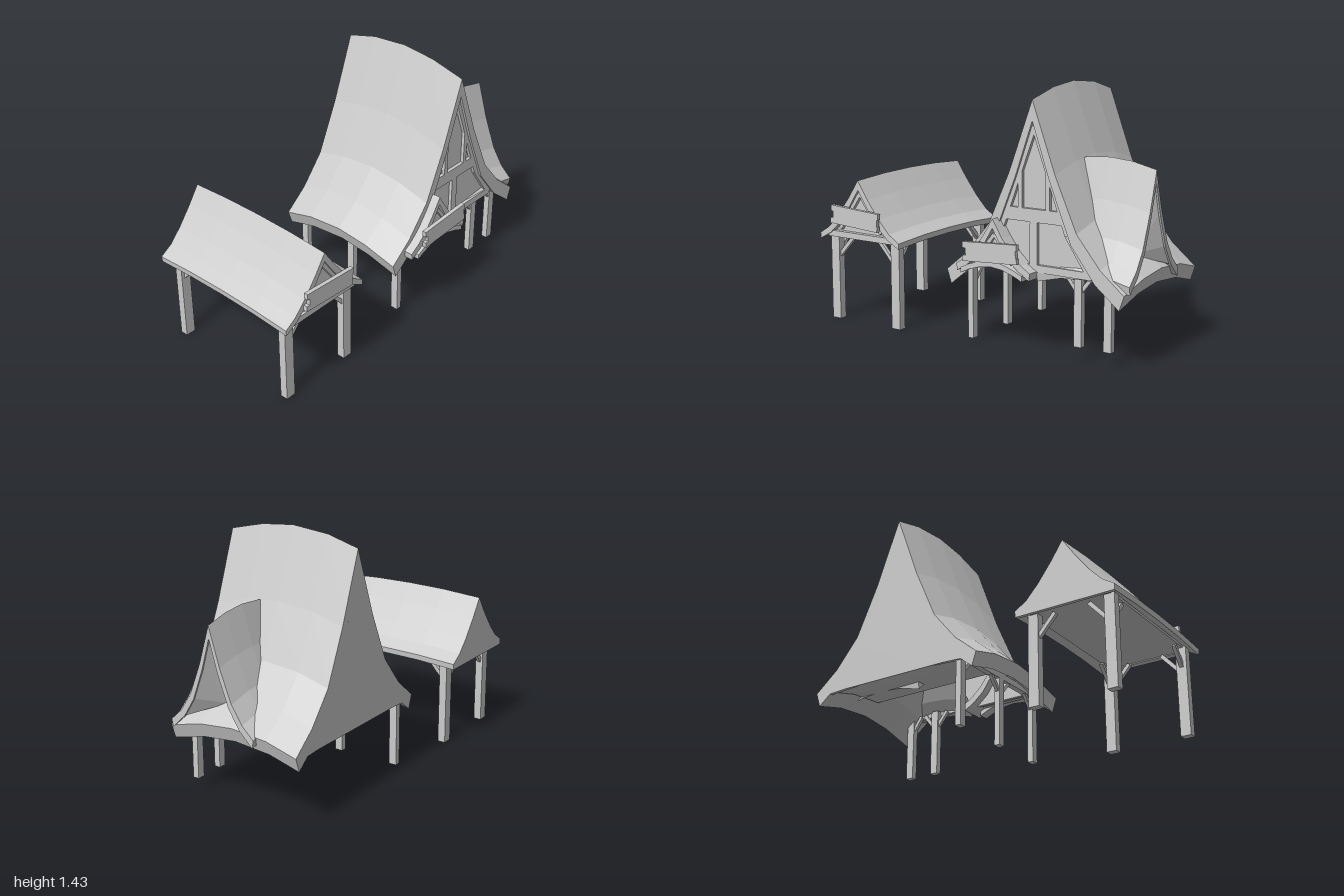
import * as THREE from 'three';

const mat = new THREE.MeshStandardMaterial({ color: 0xcccccc, flatShading: true, side: THREE.DoubleSide });

function add(parent, name, geometry, x = 0, y = 0, z = 0) {
  const mesh = new THREE.Mesh(geometry, mat);
  mesh.name = name;
  mesh.position.set(x, y, z);
  parent.add(mesh);
  return mesh;
}

const box = (parent, name, w, h, d, x, y, z) => add(parent, name, new THREE.BoxGeometry(w, h, d), x, y, z);

// Rectangular bar between two points
function bar(parent, name, a, b, w, d = w) {
  const p = new THREE.Vector3(...a), q = new THREE.Vector3(...b);
  const mesh = add(parent, name, new THREE.BoxGeometry(w, p.distanceTo(q), d));
  mesh.position.copy(p).add(q).multiplyScalar(0.5);
  mesh.quaternion.setFromUnitVectors(new THREE.Vector3(0, 1, 0), q.sub(p).normalize());
}

const post = (parent, x, z, y0, y1, w, d) => box(parent, 'post', w, y1 - y0, d, x, (y0 + y1) / 2, z);

// Half profile (ridge to eave) mirrored: right eave, ridge, left eave
const mirrored = (half) => [...half].reverse().concat(half.slice(1).map(([x, y]) => [-x, y]));

// Closed section swept along z; stations are [z, lift]
function loft(section, stations) {
  const pos = [];
  const put = (p, s) => pos.push(p[0], p[1] + s[1], s[0]);
  for (let k = 0; k + 1 < stations.length; k++) {
    const a = stations[k], b = stations[k + 1];
    section.forEach((p, i) => {
      const q = section[(i + 1) % section.length];
      put(p, a); put(q, a); put(q, b);
      put(p, a); put(q, b); put(p, b);
    });
  }
  const pts = section.map((p) => new THREE.Vector2(...p));
  const first = stations[0], last = stations[stations.length - 1];
  for (const [i, j, k] of THREE.ShapeUtils.triangulateShape(pts, [])) {
    const ccw = THREE.ShapeUtils.area([pts[i], pts[j], pts[k]]) > 0;
    const t = ccw ? [i, j, k] : [k, j, i];
    t.forEach((n) => put(section[n], last));
    t.reverse().forEach((n) => put(section[n], first));
  }
  const g = new THREE.BufferGeometry();
  g.setAttribute('position', new THREE.Float32BufferAttribute(pos, 3));
  g.computeVertexNormals();
  return g;
}

const roof = (parent, name, outer, inner, stations) =>
  add(parent, name, loft([...mirrored(outer), ...mirrored(inner).reverse()], stations));

// Flat wall filling the underside of a roof
function gable(parent, name, inner, z, depth, lift) {
  const shape = new THREE.Shape(mirrored(inner).map(([x, y]) => new THREE.Vector2(x, y + lift)));
  add(parent, name, new THREE.ExtrudeGeometry(shape, { depth, bevelEnabled: false }), 0, 0, z);
}

// Three ragged planks forming a blank board
function board(parent, x, y, z, tilt) {
  const g = new THREE.Group();
  g.name = 'plankBoard';
  [[0.345, 0.032, -0.004], [0.32, 0.04, 0.004], [0.345, 0.034, -0.002]].forEach(([w, h, dx], i) =>
    box(g, 'plank', w, h, 0.024, dx, (i - 1) * 0.036, 0));
  g.position.set(x, y, z);
  g.rotation.z = tilt;
  parent.add(g);
}

function buildShelter() {
  const g = new THREE.Group();
  g.name = 'shelter';
  g.position.x = -0.71;
  const outer = [[0, 0.86], [0.07, 0.755], [0.15, 0.65], [0.22, 0.575], [0.29, 0.53]];
  const inner = [[0, 0.805], [0.055, 0.72], [0.13, 0.615], [0.21, 0.54], [0.287, 0.497]];
  roof(g, 'shelterRoof', outer, inner, [[-0.5, -0.018], [-0.26, -0.004], [-0.025, 0], [0.21, -0.004], [0.45, -0.018]]);
  gable(g, 'backGable', inner, -0.5, 0.02, -0.018);
  gable(g, 'frontGable', inner.slice(0, 4), 0.39, 0.02, -0.01);
  box(g, 'ceiling', 0.47, 0.015, 0.88, 0, 0.51, -0.03);
  for (const z of [0.42, -0.47]) box(g, 'tieBeam', 0.47, 0.035, 0.04, 0, 0.515, z);
  for (const s of [-1, 1]) {
    bar(g, 'rafter', [0, 0.765, 0.425], [s * 0.15, 0.55, 0.425], 0.022);
    for (const z of [0.378, -0.412]) {
      post(g, s * 0.222, z, 0, 0.51, 0.06, 0.046);
      bar(g, 'brace', [s * 0.2, 0.38, z], [s * 0.1, 0.49, z], 0.022);
      bar(g, 'sideBrace', [s * 0.222, 0.38, z], [s * 0.222, 0.49, z - Math.sign(z) * 0.1], 0.022);
    }
  }
  board(g, 0.002, 0.63, 0.478, -0.06);
  return g;
}

function buildHall() {
  const g = new THREE.Group();
  g.name = 'hall';
  g.position.x = 0.432;
  const outer = [[0, 1.43], [0.14, 1.05], [0.27, 0.76], [0.41, 0.59], [0.549, 0.475]];
  const inner = [[0, 1.32], [0.105, 1.02], [0.235, 0.7], [0.38, 0.51], [0.522, 0.395]];
  const bow = [[-0.405, -0.07], [-0.22, -0.02], [0, 0], [0.2, -0.02], [0.405, -0.07]];
  roof(g, 'hallRoof', outer, inner, bow);
  // Back wall with a slightly arched lower edge, and the ceiling behind it
  gable(g, 'backGable', [...inner.slice(0, 4), [0.448, 0.455], [0.2, 0.468]], -0.405, 0.02, -0.07);
  gable(g, 'frontGable', inner.slice(0, 4), 0.35, 0.02, -0.06);
  add(g, 'ceiling', loft([[-0.43, 0.46], [0.43, 0.46], [0.43, 0.475], [-0.43, 0.475]], bow.slice(0, 3)));

  // Timber framing on the front wall
  const z = 0.377;
  box(g, 'crossTimber', 0.4, 0.07, 0.025, 0, 0.755, z);
  box(g, 'sillTimber', 0.7, 0.04, 0.025, 0, 0.475, z);
  box(g, 'centreTimber', 0.045, 0.28, 0.025, 0, 0.6, z);
  for (const s of [-1, 1]) {
    box(g, 'studTimber', 0.025, 0.24, 0.025, s * 0.085, 0.905, z);
    bar(g, 'rafterTimber', [0, 1.22, z], [s * 0.205, 0.67, z], 0.03, 0.025);
    bar(g, 'rafterTimber', [s * 0.205, 0.67, z], [s * 0.34, 0.47, z], 0.03, 0.025);
  }
  return g;
}

// Supports of the hall, in model space
function buildHallPosts() {
  const g = new THREE.Group();
  g.name = 'hallPosts';
  for (const z of [0.332, -0.005, -0.37]) {
    post(g, 0.003, z, 0.02, z ? 0.45 : 0.5, 0.034, 0.046);
    for (const s of [-1, 1]) {
      const end = z + s * 0.09;
      if (Math.abs(end) < 0.4) bar(g, 'brace', [0.003, 0.32, z], [0.003, 0.42, end], 0.02);
    }
  }
  box(g, 'eaveBeam', 0.034, 0.035, 0.74, 0.003, 0.425, -0.015);
  for (const x of [0.682, 0.86]) post(g, x, 0.335, 0.08, 0.47, 0.046, 0.036);
  for (const s of [-1, 1]) bar(g, 'brace', [0.682, 0.36, 0.335], [0.682 + s * 0.08, 0.46, 0.335], 0.02);
  bar(g, 'brace', [0.86, 0.36, 0.335], [0.79, 0.46, 0.335], 0.02);
  return g;
}

function buildDormer() {
  const g = new THREE.Group();
  g.name = 'dormer';
  g.rotation.y = Math.PI / 2;
  g.position.z = 0.115;
  const outer = [[0, 1.055], [0.065, 0.84], [0.135, 0.66], [0.2, 0.56], [0.27, 0.495]];
  const inner = [[0, 0.985], [0.05, 0.81], [0.115, 0.635], [0.18, 0.53], [0.262, 0.45]];
  roof(g, 'dormerRoof', outer, inner, [[0.45, -0.045], [0.59, -0.01], [0.73, 0], [0.86, -0.012], [1, -0.045]]);
  // Hollow folding inward to a central seam
  const rim = mirrored(inner.slice(0, 4)), pos = [];
  rim.slice(1).forEach((p, i) => {
    pos.push(rim[i][0], rim[i][1] - 0.045, 0.99, p[0], p[1] - 0.045, 0.99, 0, 0.55, 0.86);
  });
  const hollow = new THREE.BufferGeometry();
  hollow.setAttribute('position', new THREE.Float32BufferAttribute(pos, 3));
  hollow.computeVertexNormals();
  add(g, 'dormerHollow', hollow);
  return g;
}

function buildPorch() {
  const g = new THREE.Group();
  g.name = 'porch';
  g.position.x = 0.217;
  const outer = [[0, 0.725], [0.06, 0.63], [0.12, 0.55], [0.18, 0.495], [0.235, 0.46]];
  const inner = [[0, 0.675], [0.05, 0.59], [0.105, 0.51], [0.17, 0.455], [0.23, 0.42]];
  roof(g, 'porchRoof', outer, inner, [[0.3, 0], [0.455, 0]]);
  gable(g, 'porchGable', inner.slice(0, 4), 0.4, 0.015, 0);
  // Arched tie beam
  const arch = [[0, 0.5], [0.07, 0.492], [0.14, 0.47], [0.195, 0.445]];
  roof(g, 'archBeam', arch, arch.map(([x, y]) => [x, y - 0.03]), [[0.41, 0], [0.472, 0]]);
  for (const s of [-1, 1]) bar(g, 'rafter', [0, 0.64, 0.43], [s * 0.115, 0.49, 0.43], 0.02);
  board(g, 0.01, 0.55, 0.485, 0.06);
  return g;
}

export function createModel() {
  const model = new THREE.Group();
  model.name = 'stallAndHall';
  model.add(buildShelter(), buildHall(), buildHallPosts(), buildDormer(), buildPorch());
  return model;
}
